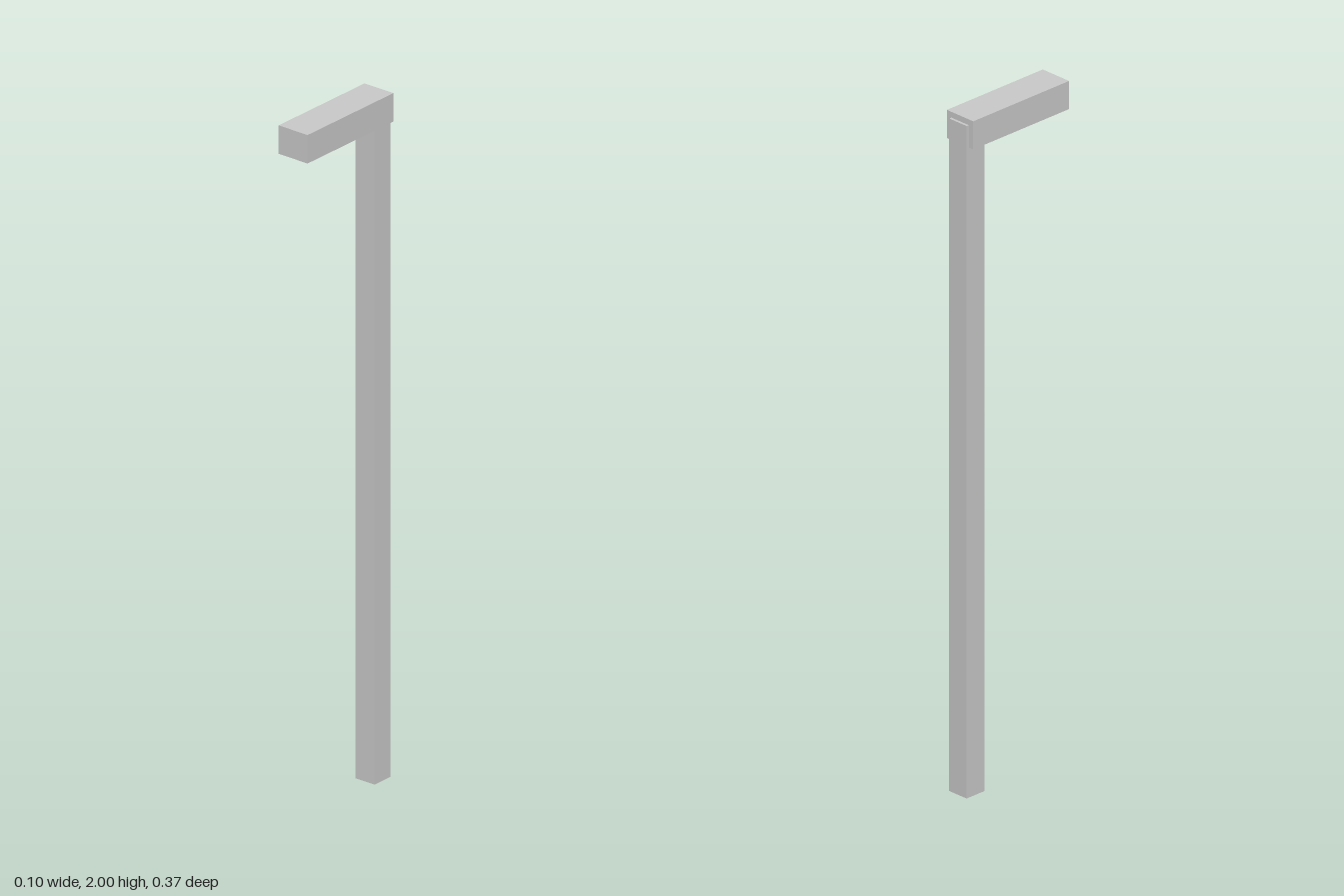
import * as THREE from 'three';

const material = new THREE.MeshStandardMaterial({ color: 0xcccccc, flatShading: true });

// Box given by its minimum and maximum corners
function block(name, [x0, y0, z0], [x1, y1, z1]) {
  const mesh = new THREE.Mesh(new THREE.BoxGeometry(x1 - x0, y1 - y0, z1 - z0), material);
  mesh.position.set((x0 + x1) / 2, (y0 + y1) / 2, (z0 + z1) / 2);
  mesh.name = name;
  return mesh;
}

export function createModel() {
  const group = new THREE.Group();
  group.name = 'lampPost';
  // Square upright, standing slightly proud of the back of the head
  group.add(block('post', [-0.033, 0, -0.183], [0.033, 1.983, -0.117]));
  // Overhanging lamp head
  group.add(block('lampHead', [-0.05, 1.917, -0.175], [0.05, 2, 0.183]));
  return group;
}
